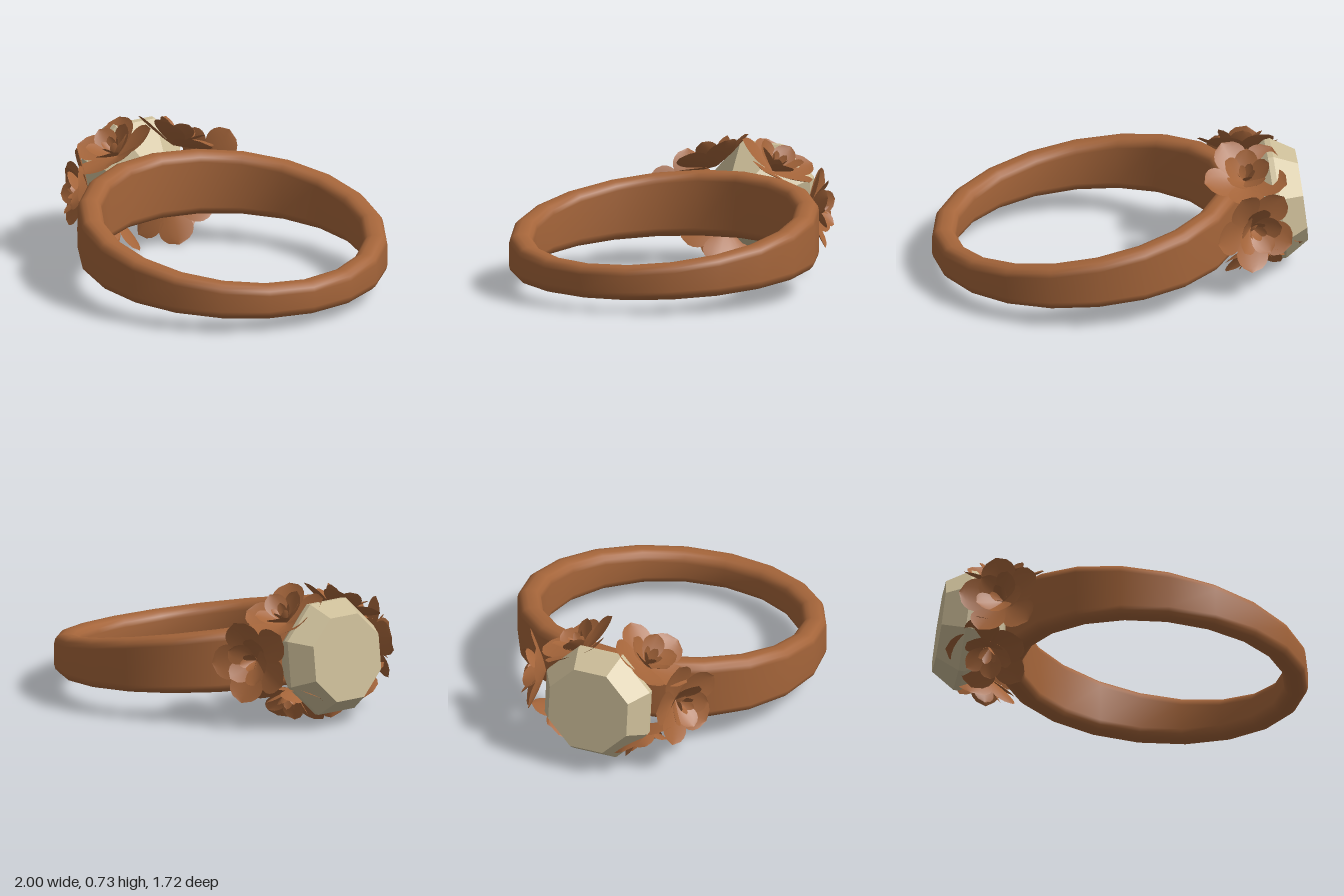
import * as THREE from 'three';

const CENTRE = new THREE.Vector3(0.16, 0.2475, 0.01);
const GEM_DIR = new THREE.Vector2(-0.88, -0.47).normalize(); // x, z

// Closed band: rounded section, taller on the gem side
function bandGeometry() {
  const sides = 20, inner = 0.715, outer = 0.847, round = 0.05, section = [];
  // unit corners: radial side, vertical side and start of the arc
  const corners = [[1, -1, -90], [1, 1, 0], [-1, 1, 90], [-1, -1, 180]];
  for (const [r, v, start] of corners) {
    for (let k = 0; k <= 3; k++) {
      const a = THREE.MathUtils.degToRad(start + k * 30);
      const base = r > 0 ? outer - round : inner + round;
      section.push([base + round * Math.cos(a), v, round * (Math.sin(a) - v)]);
    }
  }
  const pos = [], index = [], n = section.length;
  for (let i = 0; i < sides; i++) {
    const a = THREE.MathUtils.degToRad(-7.3 + (i * 360) / sides);
    const c = Math.cos(a) * GEM_DIR.x + Math.sin(a) * GEM_DIR.y;
    const top = 0.384 + 0.144 * c, bottom = 0.11 + 0.055 * c;
    section.forEach(([r, v, dy], j) => {
      pos.push(CENTRE.x + r * Math.cos(a), (v > 0 ? top : bottom) + dy, CENTRE.z + r * Math.sin(a));
      const i2 = (i + 1) % sides, j2 = (j + 1) % n;
      const p = i * n + j, q = i * n + j2, s = i2 * n + j, t = i2 * n + j2;
      index.push(p, q, s, q, t, s);
    });
  }
  const g = new THREE.BufferGeometry();
  g.setAttribute('position', new THREE.Float32BufferAttribute(pos, 3));
  g.setIndex(index);
  g.computeVertexNormals();
  return g;
}

// Petal lying along +z from the origin, curling up toward its tip
function petalGeometry(length, width) {
  const g = new THREE.PlaneGeometry(1, 1, 4, 10);
  const p = g.attributes.position;
  for (let i = 0; i < p.count; i++) {
    const t = 0.5 - p.getY(i), u = p.getX(i) * 2;
    const half = (width / 2) * Math.pow(Math.max(0, Math.sin(Math.PI * Math.pow(t, 1.5))), 0.6);
    p.setXYZ(i, u * half, length * (0.1 * t * t) + 0.15 * half * u * u, t * length);
  }
  g.computeVertexNormals();
  return g;
}

export function createModel() {
  const copper = new THREE.MeshStandardMaterial({ color: 0xa5653a, side: THREE.DoubleSide });
  copper.name = 'copper';
  const stone = new THREE.MeshStandardMaterial({ color: 0xcdbe99, flatShading: true });
  stone.name = 'paleStone';

  const model = new THREE.Group();
  model.name = 'flowerRing';
  const band = new THREE.Mesh(bandGeometry(), copper);
  band.name = 'band';
  model.add(band);

  // Setting frame: local z runs out through the gem, y is up
  const setting = new THREE.Group();
  setting.name = 'setting';
  setting.position.copy(CENTRE);
  setting.rotation.order = 'YXZ';
  setting.rotation.set(-0.12, Math.atan2(GEM_DIR.x, GEM_DIR.y), 0);
  model.add(setting);

  // Eight-sided gem: pavilion, thin girdle, crown and flat table
  const profile = [[0, -0.25], [0.2, -0.2], [0.33, -0.02], [0.33, 0.01], [0.25, 0.14], [0, 0.14]]
    .map(([r, y]) => new THREE.Vector2(r, y));
  const gem = new THREE.Mesh(new THREE.LatheGeometry(profile, 8, Math.PI / 8), stone);
  gem.name = 'gem';
  gem.rotation.x = Math.PI / 2;
  gem.position.set(0, -0.016, 1.043);
  setting.add(gem);

  // Petal layers: geometry, tilt, turn and lift
  const layers = [
    { name: 'outerPetal', geo: petalGeometry(0.25, 0.195), tilt: 0.25, turn: 0, lift: 0 },
    { name: 'innerPetal', geo: petalGeometry(0.18, 0.125), tilt: 0.65, turn: 0.63, lift: 0.005 },
    { name: 'centrePetal', geo: petalGeometry(0.11, 0.05), tilt: 1.0, turn: 0.2, lift: 0.01 },
  ];
  function addFlower(name, position, normal, spin) {
    const flower = new THREE.Group();
    flower.name = name;
    flower.position.set(...position);
    flower.quaternion.setFromUnitVectors(new THREE.Vector3(0, 1, 0), new THREE.Vector3(...normal).normalize());
    for (const layer of layers) {
      for (let k = 0; k < 5; k++) {
        const petal = new THREE.Mesh(layer.geo, copper);
        petal.name = layer.name;
        petal.rotation.order = 'YXZ';
        petal.rotation.set(-layer.tilt + (k % 2 ? 0.06 : -0.04), spin + layer.turn + (k * Math.PI * 2) / 5, 0);
        petal.position.y = layer.lift;
        flower.add(petal);
      }
    }
    setting.add(flower);
  }

  // Six flowers around the gem, each leaning away from it
  for (const s of [-1, 1]) {
    addFlower('upperFlower', [s * 0.18 + 0.02, 0.18, 0.88], [s * 0.5, 0.84, 0.15], s * 0.4);
    addFlower('lowerFlower', [s * 0.18, -0.175, 0.9], [s * 0.5, -0.84, 0.15], s * 0.8);
    addFlower('sideFlower', [s * 0.38, 0.01, 0.87], [s * 0.91, 0, 0.4], 0.275 + s * 0.475);
  }
  return model;
}
